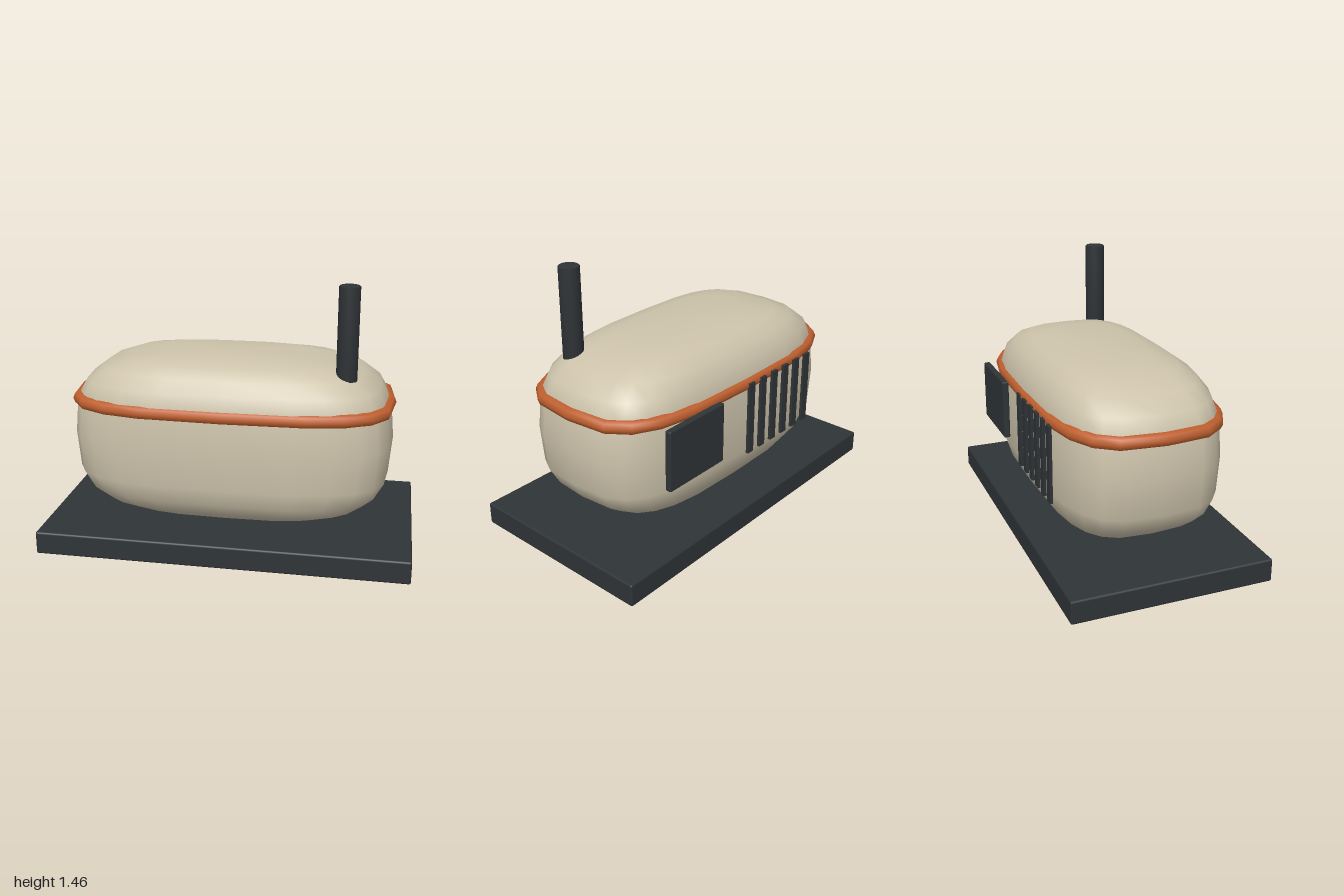
import * as THREE from 'three';
import { mergeVertices } from 'three/addons/utils/BufferGeometryUtils.js';
import { RoundedBoxGeometry } from 'three/addons/geometries/RoundedBoxGeometry.js';

const cream = new THREE.MeshStandardMaterial({ color: 0xcdc3ab });
const orange = new THREE.MeshStandardMaterial({ color: 0xc0602f });
const dark = new THREE.MeshStandardMaterial({ color: 0x2f3437 });

// signed power, squares off circles and spheres
const spow = (v, e) => Math.sign(v) * Math.pow(Math.abs(v), e);

// sphere pushed out to a soft box shape
function softBox(rx, ry, rz, e) {
  let g = new THREE.SphereGeometry(1, 24, 12);
  const p = g.attributes.position;
  for (let i = 0; i < p.count; i++) {
    p.setXYZ(i, rx * spow(p.getX(i), e), ry * spow(p.getY(i), e), rz * spow(p.getZ(i), e));
  }
  g.deleteAttribute('uv');
  g.deleteAttribute('normal');
  g = mergeVertices(g, 1e-4);
  g.computeVertexNormals();
  return g;
}

// rounded rectangular loop, sampled evenly by angle
class SoftLoop extends THREE.Curve {
  constructor(rx, rz, e) {
    super();
    Object.assign(this, { rx, rz, e });
  }
  getPoint(t, out = new THREE.Vector3()) {
    const a = t * Math.PI * 2;
    return out.set(this.rx * spow(Math.cos(a), this.e), 0, this.rz * spow(Math.sin(a), this.e));
  }
  getUtoTmapping(u) {
    return u;
  }
}

export function createModel() {
  const group = new THREE.Group();
  const add = (name, geometry, material, x, y, z) => {
    const mesh = new THREE.Mesh(geometry, material);
    mesh.name = name;
    mesh.position.set(x, y, z);
    group.add(mesh);
  };

  // plinth and shell
  add('base', new RoundedBoxGeometry(2, 0.125, 1.08, 1, 0.01), dark, 0, 0.0625, 0);
  add('body', softBox(0.873, 0.457, 0.46, 0.6), cream, 0, 0.603, 0);

  // band around the lid seam
  add('trimBand', new THREE.TubeGeometry(new SoftLoop(0.845, 0.432, 0.57), 20, 0.036, 8, true), orange, 0, 0.8, 0);

  // chimney with a slightly bevelled rim
  const profile = [[0, 0], [0.055, 0], [0.055, 0.505], [0.05, 0.51], [0, 0.51]];
  const pipe = new THREE.LatheGeometry(profile.map(([r, y]) => new THREE.Vector2(r, y)), 20);
  add('chimney', pipe, dark, 0.62, 0.95, 0.21);

  // back panel and vent slats
  add('backPanel', new RoundedBoxGeometry(0.41, 0.335, 0.036, 1, 0.008), dark, 0.455, 0.627, -0.47);
  for (let i = 0; i < 6; i++) {
    add('ventSlat' + (i + 1), new THREE.BoxGeometry(0.045, 0.415, 0.016), dark, -0.5 + i * 0.1, 0.603, -0.467);
  }
  return group;
}
